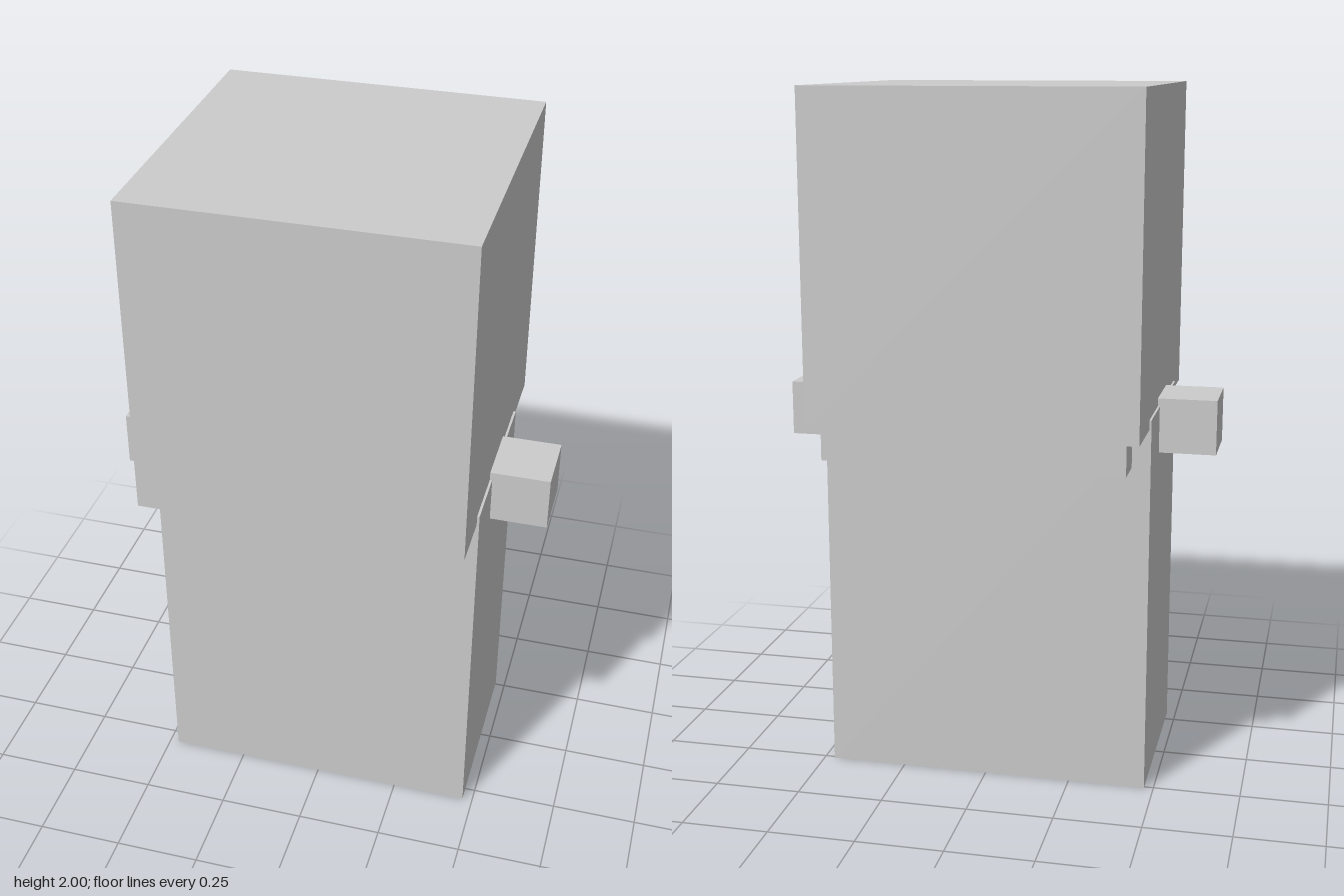
import * as THREE from 'three';

export function createModel() {
  const model = new THREE.Group();
  const material = new THREE.MeshStandardMaterial({ color: 0xcccccc, flatShading: true });

  // Box given by its low and high corners
  function box(name, [x0, y0, z0], [x1, y1, z1]) {
    const mesh = new THREE.Mesh(new THREE.BoxGeometry(x1 - x0, y1 - y0, z1 - z0), material);
    mesh.position.set((x0 + x1) / 2, (y0 + y1) / 2, (z0 + z1) / 2);
    mesh.name = name;
    model.add(mesh);
  }

  // Slim body, a hair wider than the head and reaching slightly into it
  box('body', [-0.473, 0, -0.258], [0.47, 1.098, 0.294]);

  // Large cubic head
  box('head', [-0.467, 1.07, -0.459], [0.463, 2, 0.458]);

  // Stub arms at the sides
  box('leftArm', [0.45, 0.963, -0.08], [0.635, 1.122, 0.113]);
  box('rightArm', [-0.637, 0.963, -0.08], [-0.45, 1.122, 0.113]);

  // Narrow bar under the back of the head
  box('backBar', [-0.43, 0.979, -0.436], [0.425, 1.085, -0.331]);

  return model;
}
